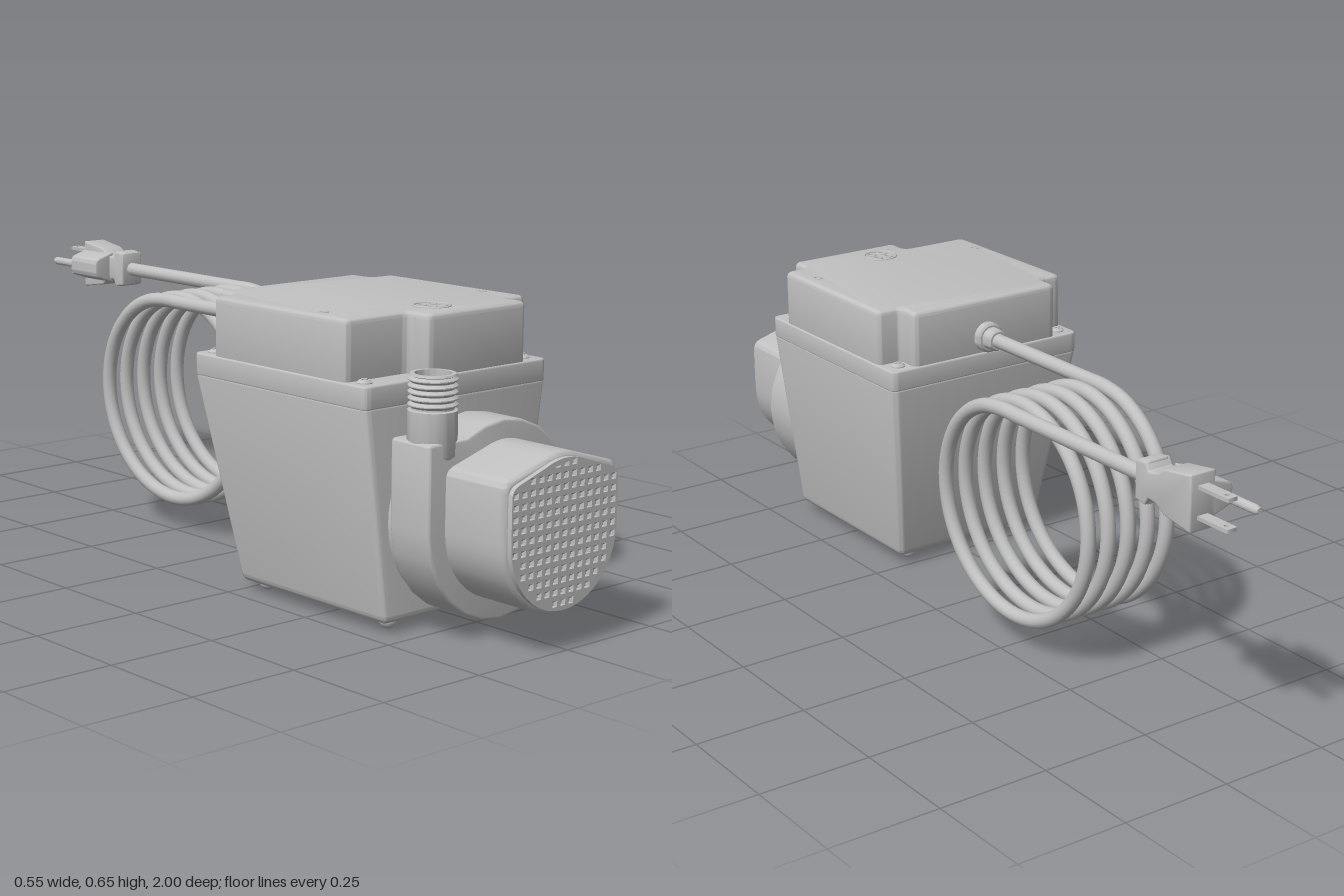
import * as THREE from 'three';
import { toCreasedNormals, mergeGeometries } from 'three/addons/utils/BufferGeometryUtils.js';
import { RoundedBoxGeometry } from 'three/addons/geometries/RoundedBoxGeometry.js';

const grey = new THREE.MeshStandardMaterial({ color: 0xc0c0c0 });
grey.name = 'grey';

// Polygon with rounded corners; each point may carry its own radius
function roundedShape(pts, radius) {
  const shape = new THREE.Shape();
  const v = pts.map(p => new THREE.Vector2(p[0], p[1]));
  v.forEach((p, i) => {
    const prev = v[(i + v.length - 1) % v.length], next = v[(i + 1) % v.length];
    const r = pts[i][2] ?? radius;
    const a = p.clone().add(prev.clone().sub(p).setLength(r));
    const b = p.clone().add(next.clone().sub(p).setLength(r));
    if (i) shape.lineTo(a.x, a.y); else shape.moveTo(a.x, a.y);
    shape.quadraticCurveTo(p.x, p.y, b.x, b.y);
  });
  shape.closePath();
  return shape;
}

// Solid between two z levels with rounded rims
function prism(shape, z0, z1, bevel = 0) {
  const g = new THREE.ExtrudeGeometry(shape, {
    depth: z1 - z0 - 2 * bevel, curveSegments: 10, bevelEnabled: bevel > 0,
    bevelSize: bevel, bevelThickness: bevel, bevelOffset: -bevel, bevelSegments: 4,
  });
  return toCreasedNormals(g.translate(0, 0, z0 + bevel), 0.55);
}

// Same, standing upright: the outline is given as (x, -z)
const slab = (shape, y0, y1, bevel) => prism(shape, y0, y1, bevel).rotateX(-Math.PI / 2);

const lathe = (pts, seg = 32) => toCreasedNormals(
  new THREE.LatheGeometry(pts.map(p => new THREE.Vector2(p[0], p[1])), seg), 0.45);

// Strainer outline: round below, straight sides, shallow peak on top
const CX = -0.017;
function strainerShape(inset) {
  const r = 0.162 - inset, s = new THREE.Shape();
  s.moveTo(CX - r, 0.237);
  s.absarc(CX, 0.237, r, Math.PI, Math.PI * 2, false);
  s.lineTo(CX + r, 0.34 - inset);
  s.quadraticCurveTo(CX + r, 0.36 - inset, CX + r - 0.02, 0.366 - inset);
  s.lineTo(CX + 0.05, 0.393 - inset);
  s.quadraticCurveTo(CX, 0.411 - inset, CX - 0.05, 0.393 - inset);
  s.lineTo(CX - r + 0.02, 0.366 - inset);
  s.quadraticCurveTo(CX - r, 0.36 - inset, CX - r, 0.34 - inset);
  s.closePath();
  return s;
}

export function createModel() {
  const model = new THREE.Group();
  model.name = 'pump';
  const add = (name, geo, x = 0, y = 0, z = 0) => {
    const m = new THREE.Mesh(geo, grey);
    m.name = name;
    m.position.set(x, y, z);
    model.add(m);
    return m;
  };

  // Tank tapering to its foot: the sides lean in, the back leans forward
  const tank = new RoundedBoxGeometry(0.52, 0.463, 0.535, 4, 0.018).translate(-0.0175, 0.2535, 0.4375);
  const pos = tank.attributes.position;
  for (let i = 0; i < pos.count; i++) {
    const t = THREE.MathUtils.clamp((0.467 - pos.getY(i)) / 0.435, 0, 1);
    pos.setX(i, -0.0175 + (pos.getX(i) + 0.0175) * (1 - 0.235 * t));
    pos.setZ(i, 0.705 - (0.705 - pos.getZ(i)) * (1 - 0.15 * t));
  }
  add('tank', toCreasedNormals(tank, 0.6));

  // Lid rim and raised lid with stepped corners
  const [L, R, B, F] = [-0.278, 0.243, -0.17, -0.705];
  add('lidRim', slab(roundedShape([[L, F], [R, F], [R, B], [L, B]], 0.018), 0.469, 0.518, 0.004));
  const n = 0.062;
  add('lid', slab(roundedShape([
    [-0.105, F + 0.003], [R - n, F + 0.003], [R - n, F + n], [R - 0.003, F + n],
    [R - 0.003, B - n], [R - n, B - n], [R - n, B - 0.004], [L + n, B - 0.004],
    [L + n, B - n], [L + 0.003, B - n], [L + 0.003, F + n], [-0.105, F + n],
  ], 0.017), 0.495, 0.645, 0.012));

  // Lid screws in the corners, with crossed slots
  const dome = lathe([[0, 0], [0.016, 0], [0.016, 0.003], [0.011, 0.008], [0, 0.009]].slice(1), 16);
  for (const x of [-0.245, 0.207]) {
    for (const z of [0.205, 0.667]) {
      add('lidScrew', dome, x, 0.517, z);
      add('screwSlot', new THREE.BoxGeometry(0.016, 0.002, 0.003), x, 0.5262, z);
      add('screwSlot', new THREE.BoxGeometry(0.003, 0.002, 0.016), x, 0.5262, z);
    }
    add('lidPlug', new THREE.TorusGeometry(0.009, 0.002, 6, 16).rotateX(Math.PI / 2), x, 0.645, 0.545);
  }

  // Vent on the lid
  add('ventRing', new THREE.TorusGeometry(0.038, 0.003, 8, 32).rotateX(Math.PI / 2), -0.017, 0.645, 0.622);
  for (let i = 0; i < 4; i++) {
    const a = Math.PI / 4 + i * Math.PI / 2;
    add('ventPort', new THREE.TorusGeometry(0.009, 0.0025, 6, 16).rotateX(Math.PI / 2),
      -0.017 + 0.021 * Math.cos(a), 0.645, 0.622 + 0.021 * Math.sin(a));
  }

  // Feet
  for (const x of [-0.17, 0.135]) for (const z of [0.665, 0.29]) {
    add('foot', new THREE.SphereGeometry(0.02, 20, 14), x, 0.02, z);
  }

  // Volute housing: a disc with a squared shoulder under the spout
  const volute = new THREE.Shape();
  volute.moveTo(-0.224, 0.235);
  volute.lineTo(-0.224, 0.405);
  volute.quadraticCurveTo(-0.224, 0.415, -0.214, 0.415);
  volute.lineTo(-0.119, 0.415);
  volute.absarc(CX, 0.235, 0.207, Math.atan2(0.18, -0.102), -Math.PI, true);
  add('volute', prism(volute, 0.722, 0.832, 0.006));
  add('voluteSeat', new THREE.CylinderGeometry(0.195, 0.195, 0.04, 48).rotateX(Math.PI / 2), CX, 0.235, 0.71);

  // Threaded outlet spout, hollow at the top
  const spout = [[0.001, 0.372], [0.038, 0.372], [0.046, 0.377], [0.05, 0.386], [0.05, 0.474], [0.043, 0.476]];
  for (let i = 0; i < 5; i++) {
    const y = 0.479 + i * 0.0125;
    spout.push([0.043, y], [0.05, y + 0.005], [0.05, y + 0.007], [0.043, y + 0.012]);
  }
  spout.push([0.048, 0.543], [0.046, 0.547], [0.037, 0.547], [0.037, 0.44], [0.001, 0.44]);
  add('spout', lathe(spout, 36), -0.172, 0, 0.785);

  // Intake strainer with a perforated face and hooded holes
  add('strainer', prism(strainerShape(0), 0.815, 0.99, 0.012));
  const face = strainerShape(0.01), hoods = [];
  const reach = [1, 4, 6, 6, 6, 6, 6, 6, 5, 5, 4, 3, 1];
  reach.forEach((count, row) => {
    for (let k = -count; k <= count; k++) {
      const x = CX - 0.001 + k * 0.0233, y = 0.382 - row * 0.0234, w = 0.007, h = 0.0065;
      const hole = new THREE.Path();
      hole.moveTo(x - w, y - h);
      hole.lineTo(x - w, y + h);
      hole.lineTo(x + w, y + h);
      hole.lineTo(x + w, y - h);
      hole.closePath();
      face.holes.push(hole);
      hoods.push(new THREE.PlaneGeometry(2 * w, 0.0115).rotateX(0.97).translate(x, y + h / 2, 0.995));
    }
  });
  add('strainerFace', prism(face, 0.986, 1.0));
  add('strainerHoods', mergeGeometries(hoods));

  // Cord gland on the back
  add('cordGland', lathe([[0.001, 0], [0.035, 0], [0.035, 0.016], [0.03, 0.02], [0.026, 0.02],
    [0.025, 0.042], [0.021, 0.047], [0.001, 0.047]]).rotateX(-Math.PI / 2), -0.018, 0.555, 0.175);

  // Cord: straight lead, five coils, straight tail
  const path = [0.15, 0.05, -0.05, -0.15, -0.21].map(z => new THREE.Vector3(-0.018, 0.555, z));
  for (let i = 0; i <= 100; i++) {
    const a = i / 20 * Math.PI * 2;
    path.push(new THREE.Vector3(-0.018 + 0.0525 * i / 20, 0.315 + 0.24 * Math.cos(a), -0.26 - 0.24 * Math.sin(a)));
  }
  for (const z of [-0.31, -0.4, -0.5, -0.6, -0.75]) path.push(new THREE.Vector3(0.245, 0.555, z));
  const curve = new THREE.CatmullRomCurve3(path);
  curve.arcLengthDivisions = 1500;
  add('cord', new THREE.TubeGeometry(curve, 420, 0.0165, 14));

  // Plug: grip collar, flared body, rounded earth side and three prongs
  const grip = roundedShape([[0.735, -0.04], [0.765, -0.045], [0.775, -0.028], [0.8, -0.032], [0.82, -0.047],
    [0.9, -0.059], [0.9, 0.059], [0.82, 0.047], [0.8, 0.032], [0.775, 0.028], [0.765, 0.045], [0.735, 0.04]], 0.004);
  const turn = g => g.rotateY(Math.PI / 2);
  const collar = roundedShape([[0.735, -0.042], [0.768, -0.046], [0.768, 0.046], [0.735, 0.042]], 0.006);
  add('plugCollar', turn(prism(collar, 0.219, 0.271, 0.005)), 0, 0.556, 0);
  add('plugBody', turn(prism(grip, 0.214, 0.276, 0.004)), 0, 0.556, 0);
  const earth = roundedShape([[0.17, -0.022, 0.012], [0.225, -0.04], [0.225, 0.04], [0.17, 0.022, 0.012]], 0.004);
  add('plugEarthSide', prism(earth, -0.9, -0.79, 0.004), 0, 0.556, 0);
  for (const y of [0.525, 0.587]) {
    const blade = roundedShape([[0.232, 0.89], [0.258, 0.89], [0.258, 0.985], [0.232, 0.985]], 0.005);
    const hole = new THREE.Path();
    hole.absarc(0.245, 0.968, 0.005, 0, Math.PI * 2, true);
    blade.holes.push(hole);
    add('blade', slab(blade, y - 0.004, y + 0.004, 0));
  }
  add('earthPin', lathe([[0.001, 0], [0.01, 0], [0.01, 0.1], [0.006, 0.11], [0.001, 0.11]], 16)
    .rotateX(-Math.PI / 2), 0.192, 0.556, -0.89);

  return model;
}
